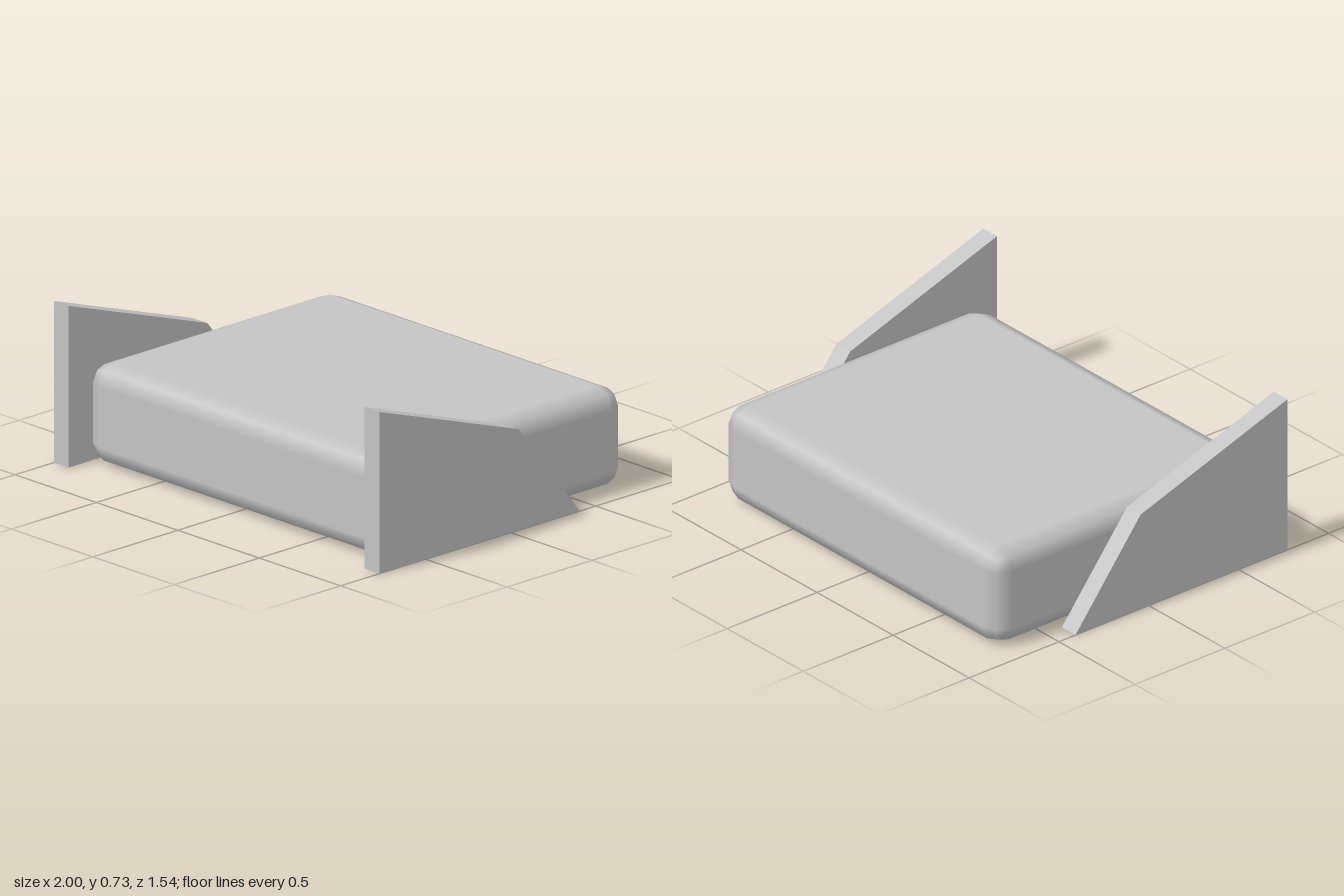
import * as THREE from 'three';
import { RoundedBoxGeometry } from 'three/addons/geometries/RoundedBoxGeometry.js';

export function createModel() {
  const group = new THREE.Group();
  const grey = new THREE.MeshStandardMaterial({ color: 0xc4c4c4 });
  grey.name = 'grey';

  // Rounded slab with coarse, smoothly shaded edges
  const slab = new THREE.Mesh(new RoundedBoxGeometry(1.82, 0.455, 1.452, 1, 0.092), grey);
  slab.name = 'slab';
  slab.position.set(0, 0.2275, -0.046);
  group.add(slab);

  // Side panel profile, drawn as (z, y) and extruded along x
  const profile = new THREE.Shape([
    [0.772, 0], [0.772, 0.727], [-0.045, 0.455], [-0.408, 0],
  ].map(([z, y]) => new THREE.Vector2(z, y)));
  const thickness = 0.09;
  const panelGeometry = new THREE.ExtrudeGeometry(profile, { depth: thickness, bevelEnabled: false });
  panelGeometry.rotateY(-Math.PI / 2);
  panelGeometry.translate(thickness / 2, 0, 0);

  for (const [name, side] of [['leftPanel', 1], ['rightPanel', -1]]) {
    const panel = new THREE.Mesh(panelGeometry, grey);
    panel.name = name;
    panel.position.x = side * (1 - thickness / 2);
    group.add(panel);
  }
  return group;
}
